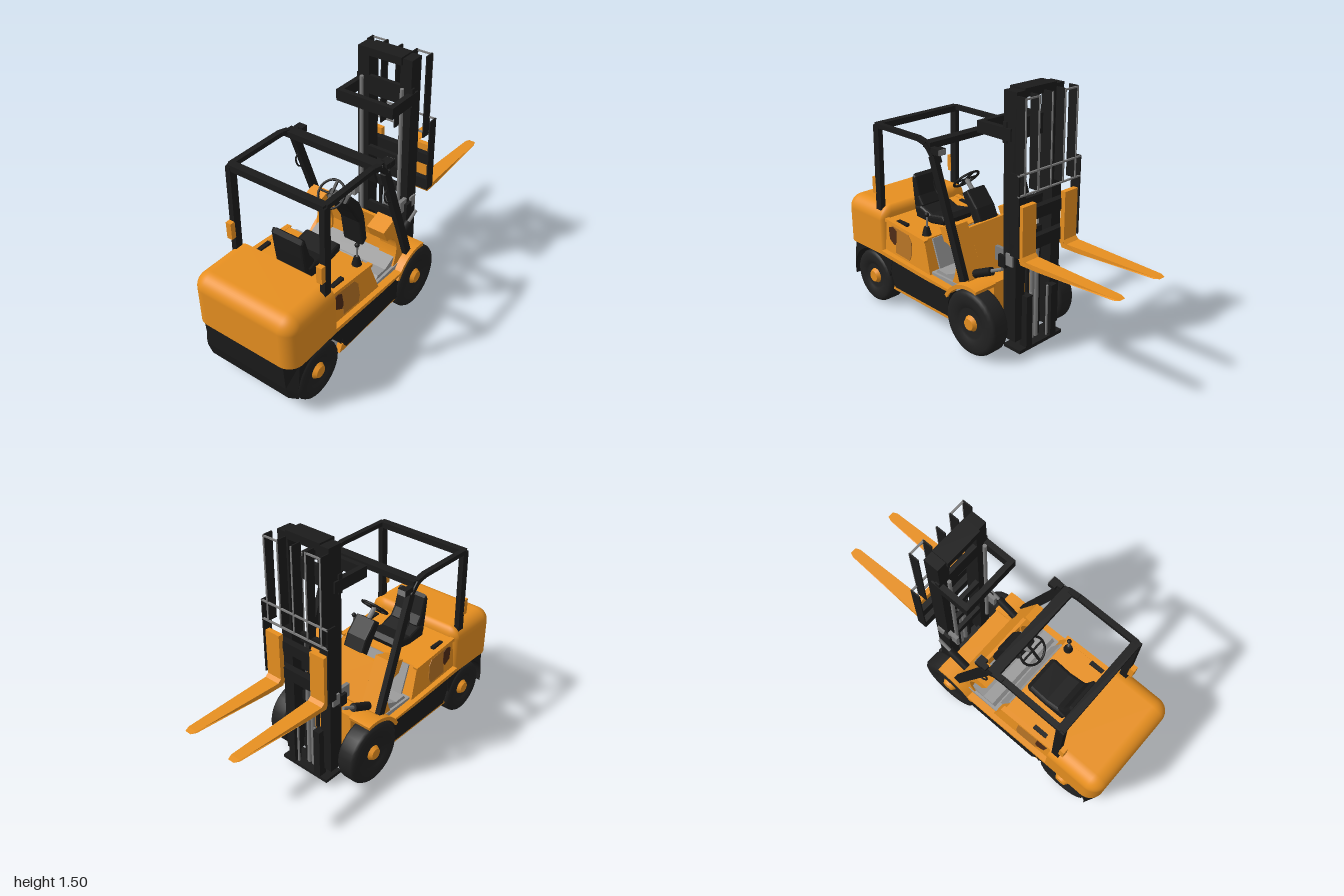
import * as THREE from 'three';
import { RoundedBoxGeometry } from 'three/addons/geometries/RoundedBoxGeometry.js';

const paint = (name, color) => Object.assign(new THREE.MeshStandardMaterial({ color }), { name });

export function createModel() {
  const M = {
    orange: paint('orange paint', 0xe89020),
    black: paint('black paint', 0x1b1b1b),
    rubber: paint('rubber', 0x212121),
    steel: paint('steel', 0x7c7c7c),
    floor: paint('floor grey', 0x9a9a9a),
    under: paint('underside grey', 0x707070),
    tan: paint('tan panel', 0xb57225),
    brown: paint('brown panel', 0x4d2a16),
  };
  const model = new THREE.Group();
  model.name = 'forklift';

  const add = (name, mat, geo) => {
    const mesh = new THREE.Mesh(geo, mat);
    mesh.name = name;
    model.add(mesh);
    return mesh;
  };
  // box from its limits
  const box = (name, mat, x0, x1, y0, y1, z0, z1) =>
    add(name, mat, new THREE.BoxGeometry(x1 - x0, y1 - y0, z1 - z0)
      .translate((x0 + x1) / 2, (y0 + y1) / 2, (z0 + z1) / 2));
  // the same box on both sides
  const boxes = (name, mat, x0, x1, y0, y1, z0, z1) => {
    box(name + 'Left', mat, x0, x1, y0, y1, z0, z1);
    box(name + 'Right', mat, x0, x1, y0, y1, -z1, -z0);
  };
  // side outline extruded across z; narrow(x, y) scales the width
  const plate = (name, mat, pts, z0, z1, { narrow, bevel = 0 } = {}) => {
    const shape = pts instanceof THREE.Shape ? pts : new THREE.Shape(pts.map(p => new THREE.Vector2(...p)));
    const geo = new THREE.ExtrudeGeometry(shape, {
      depth: z1 - z0 - 2 * bevel, curveSegments: 16, bevelEnabled: bevel > 0,
      bevelSize: bevel, bevelThickness: bevel, bevelOffset: -bevel, bevelSegments: 3,
    }).translate(0, 0, z0 + bevel);
    if (narrow) {
      const p = geo.attributes.position;
      for (let i = 0; i < p.count; i++) p.setZ(i, p.getZ(i) * narrow(p.getX(i), p.getY(i)));
      geo.computeVertexNormals();
    }
    return add(name, mat, geo);
  };
  const plates = (name, mat, pts, z0, z1, o) => {
    plate(name + 'Left', mat, pts, z0, z1, o);
    plate(name + 'Right', mat, pts, -z1, -z0, o);
  };
  // straight bar or round rod between two points
  const between = (name, mat, geoFor, a, b) => {
    const A = new THREE.Vector3(...a), B = new THREE.Vector3(...b), d = B.clone().sub(A);
    const mesh = add(name, mat, geoFor(d.length()));
    mesh.position.copy(A).add(B).multiplyScalar(0.5);
    mesh.quaternion.setFromUnitVectors(new THREE.Vector3(0, 1, 0), d.normalize());
    return mesh;
  };
  const bar = (name, mat, a, b, w, d) => between(name, mat, l => new THREE.BoxGeometry(w, l, d), a, b);
  const rod = (name, mat, a, b, r) => between(name, mat, l => new THREE.CylinderGeometry(r, r, l, 12), a, b);

  // wheels: lathed tyre, orange hub
  const wheel = (name, x, r, z, side) => {
    const g = new THREE.Group();
    g.name = name;
    const prof = [[0.02, 0.045], [0.45, 0.045], [0.5, 0.055], [0.68, 0.064], [0.85, 0.062], [0.95, 0.055],
      [1, 0.04], [1, -0.04], [0.95, -0.055], [0.85, -0.062], [0.5, -0.06], [0.02, -0.045]]
      .map(([a, b]) => new THREE.Vector2(a * r, b)).reverse();
    const tyre = new THREE.Mesh(new THREE.LatheGeometry(prof, 28), M.rubber);
    const hub = new THREE.Mesh(new THREE.CylinderGeometry(0.034, 0.05, 0.026, 14), M.orange);
    tyre.name = 'tyre';
    hub.name = 'hub';
    hub.position.y = 0.054;
    g.add(tyre, hub);
    g.rotation.x = side * Math.PI / 2;
    g.position.set(x, r, z * side);
    model.add(g);
  };
  for (const s of [1, -1]) {
    wheel('frontWheel', 0.115, 0.193, 0.265, s);
    wheel('rearWheel', -0.77, 0.166, 0.25, s);
  }
  rod('frontAxle', M.black, [0.115, 0.193, -0.25], [0.115, 0.193, 0.25], 0.04);
  rod('rearAxle', M.black, [-0.77, 0.166, -0.25], [-0.77, 0.166, 0.25], 0.04);

  // counterweight: rounded block cut flat at its front and bottom
  const cw = new RoundedBoxGeometry(0.5, 0.48, 0.66, 6, 0.085).translate(-0.75, 0.422, 0);
  const cp = cw.attributes.position;
  for (let i = 0; i < cp.count; i++) {
    cp.setX(i, Math.min(cp.getX(i), -0.65));
    cp.setY(i, Math.max(cp.getY(i), 0.36));
  }
  add('counterweight', M.orange, cw);
  const skirt = new THREE.Shape();
  skirt.moveTo(-0.995, 0.362);
  skirt.lineTo(-0.985, 0.2);
  skirt.lineTo(-0.97, 0.12);
  skirt.lineTo(-0.95, 0.13);
  skirt.absarc(-0.77, 0.166, 0.183, Math.PI, 0.35, true);
  skirt.lineTo(-0.56, 0.362);
  skirt.lineTo(-0.93, 0.362);
  plate('rearSkirt', M.black, skirt, -0.318, 0.318, { narrow: x => x < -0.96 ? 0.83 : 1 });
  box('rearChassis', M.black, -0.95, -0.55, 0.15, 0.36, -0.16, 0.16);
  box('rearUnderPlate', M.under, -0.9, -0.6, 0.138, 0.155, -0.17, 0.17);

  // lower body
  plate('sill', M.black, [[-0.64, 0.362], [-0.59, 0.27], [-0.55, 0.17], [-0.06, 0.165], [-0.07, 0.25], [-0.04, 0.335], [-0.3, 0.335]], -0.315, 0.315);
  plates('lowerStrip', M.orange, [[-0.57, 0.185], [-0.59, 0.14], [-0.06, 0.135], [-0.06, 0.166]], 0.27, 0.3);
  box('underPlate', M.under, -0.62, 0.0, 0.134, 0.17, -0.27, 0.27);
  plates('ledge', M.orange, [[-0.69, 0.362], [-0.25, 0.335], [-0.05, 0.33], [-0.05, 0.345], [-0.25, 0.358], [-0.66, 0.385]], 0.27, 0.33);

  // engine cover with side panels and latches
  const lean = { narrow: (x, y) => 1 - (y - 0.36) * 0.3 };
  plate('engineCover', M.orange, [[-0.67, 0.35], [-0.23, 0.34], [-0.3, 0.55], [-0.67, 0.578]], -0.3, 0.3, lean);
  plates('coverLip', M.orange, [[-0.65, 0.562], [-0.29, 0.535], [-0.285, 0.55], [-0.65, 0.582]], 0.28, 0.312, lean);
  plates('tanPanel', M.tan, [[-0.55, 0.395], [-0.42, 0.385], [-0.405, 0.42], [-0.41, 0.5], [-0.44, 0.535], [-0.6, 0.55], [-0.55, 0.48]], 0.299, 0.304, lean);
  plates('brownPanel', M.brown, [[-0.605, 0.465], [-0.56, 0.44], [-0.545, 0.46], [-0.55, 0.53], [-0.58, 0.545], [-0.62, 0.535]], 0.299, 0.307, lean);
  boxes('latch', M.black, -0.58, -0.49, 0.56, 0.58, 0.235, 0.26);
  bar('footwellBack', M.floor, [-0.225, 0.35, 0], [-0.293, 0.545, 0], 0.012, 0.46);
  box('floor', M.floor, -0.3, 0, 0.33, 0.372, -0.285, 0.285);

  // front cowl, toe board and fenders
  const cowl = new THREE.Shape();
  cowl.moveTo(-0.165, 0.67);
  cowl.lineTo(-0.06, 0.705);
  cowl.lineTo(0.06, 0.42);
  cowl.lineTo(0.04, 0.33);
  cowl.lineTo(-0.09, 0.34);
  cowl.quadraticCurveTo(-0.04, 0.4, -0.035, 0.49);
  cowl.quadraticCurveTo(-0.05, 0.59, -0.13, 0.595);
  plates('cowlSide', M.orange, cowl, 0.17, 0.28);
  plate('cowlFront', M.orange, [[-0.065, 0.67], [-0.045, 0.67], [0.06, 0.42], [0.04, 0.33], [-0.04, 0.34], [-0.02, 0.49]], -0.17, 0.17);
  plate('toeBoard', M.floor, [[-0.22, 0.37], [-0.2, 0.395], [-0.13, 0.39], [-0.035, 0.43], [-0.03, 0.37]], -0.27, 0.27);
  box('frontChassis', M.orange, -0.06, 0.165, 0.13, 0.41, -0.185, 0.185);
  const arch = new THREE.Shape();
  arch.absarc(0.115, 0.195, 0.225, 1.3, 2.65, false);
  arch.absarc(0.115, 0.195, 0.203, 2.65, 1.3, true);
  plates('frontFender', M.orange, arch, 0.18, 0.328);
  boxes('mastBracket', M.orange, 0.15, 0.23, 0.12, 0.17, 0.11, 0.18);

  // dashboard, steering and controls
  plate('dashboard', M.black, [[-0.215, 0.8], [-0.17, 0.83], [-0.09, 0.74], [-0.045, 0.64], [-0.02, 0.45], [-0.06, 0.42], [-0.09, 0.6], [-0.15, 0.7]], -0.072, 0.072, { bevel: 0.015 });
  rod('steeringColumn', M.steel, [-0.25, 0.86, 0], [-0.18, 0.79, 0], 0.014);
  const ring = add('steeringWheel', M.black, new THREE.TorusGeometry(0.08, 0.007, 8, 28).rotateX(Math.PI / 2));
  ring.position.set(-0.25, 0.86, 0);
  ring.rotation.z = 0.78;
  bar('steeringSpoke', M.black, [-0.305, 0.805, 0], [-0.195, 0.915, 0], 0.01, 0.014);
  rod('steeringCrossSpoke', M.black, [-0.25, 0.86, -0.08], [-0.25, 0.86, 0.08], 0.006);
  rod('lever', M.steel, [-0.34, 0.56, 0.23], [-0.335, 0.67, 0.23], 0.006);
  add('leverBoot', M.black, new THREE.CylinderGeometry(0.015, 0.028, 0.05, 14)).position.set(-0.34, 0.58, 0.23);
  add('leverKnob', M.black, new THREE.SphereGeometry(0.014, 12, 8)).position.set(-0.335, 0.68, 0.23);

  // seat
  plate('seatCushion', M.black, [[-0.58, 0.56], [-0.59, 0.63], [-0.54, 0.645], [-0.45, 0.615], [-0.34, 0.635], [-0.315, 0.61], [-0.33, 0.575], [-0.45, 0.555]], -0.115, 0.115, { bevel: 0.02 });
  plate('seatBack', M.black, [[-0.6, 0.58], [-0.615, 0.7], [-0.625, 0.8], [-0.61, 0.825], [-0.59, 0.81], [-0.56, 0.7], [-0.525, 0.65], [-0.54, 0.59]], -0.105, 0.105, { bevel: 0.018 });

  // overhead guard
  const guard = [[-0.685, 0.57], [-0.67, 1.153], [-0.3, 1.153], [-0.235, 1.138], [-0.185, 1.08], [0.045, 0.42]];
  for (const s of [1, -1]) {
    const z = 0.293 * s;
    for (let i = 1; i < guard.length; i++) {
      const w = i === 1 || i === 5 ? 0.046 : 0.026;
      bar('guardBar', M.black, [...guard[i - 1], z], [...guard[i], z], w, 0.032);
    }
    box('headlampMount', M.black, -0.19, -0.14, 1.1, 1.13, z - 0.015, z + 0.015);
    box('headlamp', M.black, -0.165, -0.122, 1.095, 1.13, z * 0.97 - 0.026, z * 0.97 + 0.026);
    box('headlampGlass', M.steel, -0.122, -0.118, 1.097, 1.128, z * 0.97 - 0.024, z * 0.97 + 0.024);
    box('tailLamp', M.orange, -0.73, -0.7, 0.73, 0.83, z - 0.017, z + 0.017);
    const grip = new THREE.CatmullRomCurve3([[-0.15, 0.97], [-0.185, 0.94], [-0.165, 0.88], [-0.115, 0.86]]
      .map(([x, y]) => new THREE.Vector3(x, y, z)));
    add('grabHandle', M.black, new THREE.TubeGeometry(grip, 12, 0.005, 6));
  }
  box('guardRearBar', M.black, -0.69, -0.645, 1.13, 1.166, -0.3, 0.3);
  box('guardFrontBar', M.black, -0.26, -0.2, 1.115, 1.15, -0.3, 0.3);
  bar('mirror', M.black, [-0.235, 1.09, 0.24], [-0.21, 1.02, 0.24], 0.015, 0.05);

  // mast
  boxes('mastRail', M.black, 0.225, 0.315, 0.1, 1.49, 0.1, 0.172);
  boxes('innerRail', M.black, 0.3, 0.352, 0.05, 0.37, 0.075, 0.12);
  box('mastTop', M.black, 0.21, 0.315, 1.455, 1.5, -0.115, 0.115);
  box('mastFoot', M.black, 0.23, 0.352, 0.04, 0.06, -0.17, 0.17);
  for (const [y0, y1] of [[0.1, 0.16], [0.44, 0.5], [0.65, 0.7], [0.83, 0.885]])
    box('mastTie', M.black, 0.225, 0.25, y0, y1, -0.11, 0.11);
  box('mastHighTie', M.black, 0.225, 0.25, 1.22, 1.33, -0.18, 0.18);
  boxes('hoopArm', M.black, 0.04, 0.28, 1.235, 1.3, 0.15, 0.182);
  box('hoopBack', M.black, 0.04, 0.07, 1.235, 1.3, -0.182, 0.182);
  for (const s of [1, -1]) {
    rod('liftCylinder', M.steel, [0.2, 0.4, 0.13 * s], [0.2, 1.33, 0.13 * s], 0.011);
    rod('centreCylinder', M.steel, [0.29, 0.05, 0.017 * s], [0.29, 0.66, 0.017 * s], 0.014);
    rod('liftChain', M.black, [0.28, 0.05, 0.045 * s], [0.28, 0.66, 0.045 * s], 0.011);
    rod('hoseGuide', M.steel, [0.33, 0.05, 0.065 * s], [0.33, 0.37, 0.065 * s], 0.007);
    rod('tiltCylinder', M.black, [0.03, 0.43, 0.215 * s], [0.18, 0.5, 0.215 * s], 0.024);
    rod('tiltRod', M.steel, [0.15, 0.487, 0.215 * s], [0.26, 0.54, 0.215 * s], 0.01);
  }
  boxes('tiltBracketRear', M.steel, 0.16, 0.225, 0.55, 0.63, 0.15, 0.172);
  boxes('tiltBracketFront', M.steel, 0.25, 0.3, 0.55, 0.62, 0.172, 0.182);
  boxes('tiltPin', M.black, 0.2, 0.25, 0.53, 0.6, 0.172, 0.19);

  // carriage and load backrest: thin deep plates with steel front edges
  box('carriageLowBar', M.black, 0.335, 0.375, 0.65, 0.72, -0.235, 0.235);
  box('carriageHighBar', M.black, 0.335, 0.375, 0.82, 0.885, -0.235, 0.235);
  boxes('carriagePlate', M.black, 0.335, 0.395, 0.65, 1.1, 0.227, 0.235);
  for (const z of [-0.19, -0.095, 0, 0.095, 0.19]) {
    box('backrestPlate', M.black, 0.335, 0.391, 0.985, 1.48, z - 0.004, z + 0.004);
    box('backrestEdge', M.steel, 0.391, 0.396, 0.985, 1.478, z - 0.004, z + 0.004);
  }
  boxes('backrestTop', M.steel, 0.385, 0.395, 1.468, 1.476, 0.1, 0.19);
  for (const y of [0.985, 1.095]) box('backrestRail', M.steel, 0.385, 0.396, y - 0.004, y + 0.004, -0.235, 0.235);

  // forks: upright shank and a blade narrowing to its tip
  const taper = { narrow: x => x > 0.99 ? 0.4 : 1 - 0.4 * Math.max(0, x - 0.4) / 0.6 };
  for (const s of [1, -1]) {
    box('forkShank', M.orange, 0.37, 0.4, 0.63, 0.925, 0.16 * s - 0.05, 0.16 * s + 0.05);
    plate('forkBlade', M.orange, [[0.37, 0.64], [0.385, 0.603], [0.5, 0.602], [0.97, 0.617], [1, 0.622], [0.97, 0.626],
      [0.42, 0.632], [0.4, 0.65]], -0.05, 0.05, taper).position.z = 0.16 * s;
  }
  return model;
}
